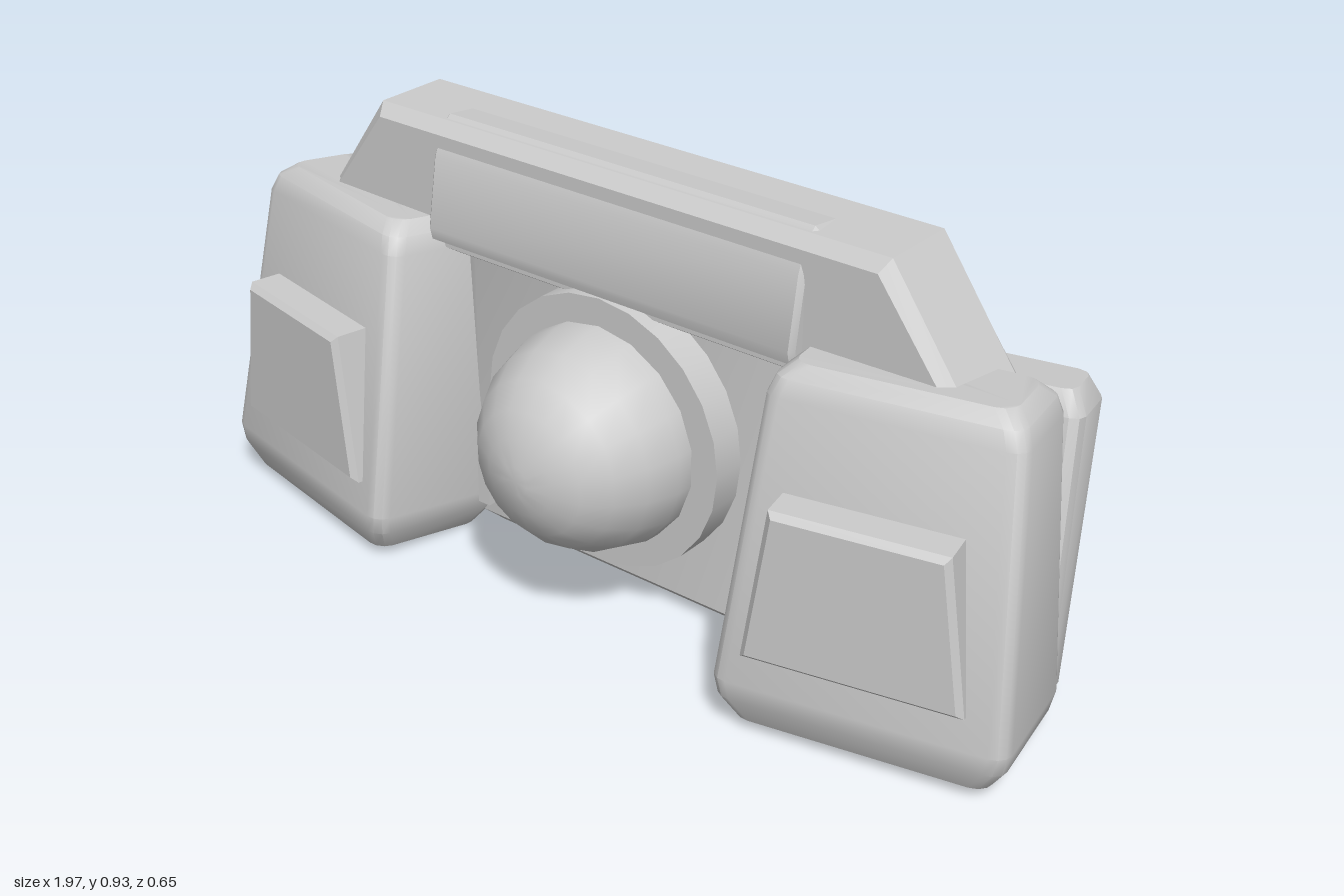
import * as THREE from 'three';
import { toCreasedNormals } from 'three/addons/utils/BufferGeometryUtils.js';

const grey = new THREE.MeshStandardMaterial({ color: 0xcccccc });
grey.name = 'plain grey';

function part(name, geometry, parent, crease = 0.6) {
  const mesh = new THREE.Mesh(toCreasedNormals(geometry, crease), grey);
  mesh.name = name;
  parent.add(mesh);
  return mesh;
}

// Stacks rounded rectangles [y, width, depth, zOffset] upward and caps both ends
function loft(levels, radius, steps = 3) {
  const pos = [], idx = [];
  const n = 4 * (steps + 1);
  for (const [y, w, d, z = 0] of levels) {
    const r = Math.min(radius, w / 2, d / 2);
    for (let q = 0; q < 4; q++) {
      const sx = q === 0 || q === 3 ? 1 : -1, sz = q < 2 ? 1 : -1;
      for (let s = 0; s <= steps; s++) {
        const a = (q + s / steps) * Math.PI / 2;
        pos.push(sx * (w / 2 - r) + r * Math.cos(a), y, z + sz * (d / 2 - r) + r * Math.sin(a));
      }
    }
  }
  for (let l = 0; l < levels.length - 1; l++) {
    for (let i = 0; i < n; i++) {
      const a = l * n + i, b = l * n + (i + 1) % n;
      idx.push(a, a + n, b, b, a + n, b + n);
    }
  }
  const top = (levels.length - 1) * n;
  for (let i = 1; i < n - 1; i++) {
    idx.push(0, i, i + 1, top, top + i + 1, top + i);
  }
  const g = new THREE.BufferGeometry();
  g.setAttribute('position', new THREE.Float32BufferAttribute(pos, 3));
  g.setIndex(idx);
  return g;
}

function extrude(points, depth, bevel = 0) {
  const shape = new THREE.Shape(points.map(([x, y]) => new THREE.Vector2(x, y)));
  return new THREE.ExtrudeGeometry(shape, {
    depth: depth - 2 * bevel, bevelEnabled: bevel > 0, bevelSegments: 1,
    bevelSize: bevel, bevelThickness: bevel, bevelOffset: -bevel,
  }).translate(0, 0, bevel);
}

// One side unit: turned outward and leaning back
function sideUnit(side) {
  const unit = new THREE.Group();
  unit.name = side > 0 ? 'leftUnit' : 'rightUnit';
  unit.position.set(side * 0.68, 0, 0.07);
  unit.rotation.y = side * 0.208;

  const leaning = new THREE.Group();
  leaning.name = 'leaningBody';
  leaning.position.y = 0.018;
  leaning.rotation.x = -0.1;
  unit.add(leaning);

  part('pod', loft([
    [0, 0.5, 0.26], [0.05, 0.56, 0.315], [0.09, 0.575, 0.33],
    [0.65, 0.485, 0.245], [0.685, 0.46, 0.225], [0.71, 0.405, 0.17],
  ], 0.035), leaning);

  part('rearPanel', loft([
    [0.015, 0.48, 0.07, -0.205], [0.05, 0.53, 0.11, -0.205],
    [0.625, 0.53, 0.15, -0.215], [0.67, 0.48, 0.11, -0.215],
  ], 0.025, 2), leaning);

  // Upright raised pad with a tapered outline
  const pad = part('frontPad', extrude(
    [[-0.215, 0.19], [0.215, 0.19], [0.17, 0.51], [-0.17, 0.51]], 0.165, 0.012), unit);
  pad.position.x = -side * 0.01;
  return unit;
}

export function createModel() {
  const model = new THREE.Group();
  model.name = 'model';

  part('centreBlock', loft([
    [0.012, 0.82, 0.25, -0.16], [0.045, 0.88, 0.32, -0.16],
    [0.69, 0.88, 0.32, -0.16], [0.74, 0.8, 0.25, -0.16],
  ], 0.05, 2), model);

  // Round lamp: base ring and dome
  const ring = part('domeRing', new THREE.CylinderGeometry(0.29, 0.29, 0.12, 24), model);
  ring.rotation.x = Math.PI / 2;
  ring.position.set(0, 0.4, 0.015);

  const profile = [[0.232, 0.06], [0.23, 0.11], [0.21, 0.18], [0.175, 0.24],
    [0.13, 0.285], [0.08, 0.308], [0.03, 0.323], [0, 0.323]];
  const dome = part('dome', new THREE.LatheGeometry(
    profile.map(([r, h]) => new THREE.Vector2(r, h)), 18), model);
  dome.rotation.x = Math.PI / 2;
  dome.position.y = 0.4;

  for (const side of [1, -1]) {
    model.add(sideUnit(side));
    const clip = part('sideClip', new THREE.BoxGeometry(0.03, 0.16, 0.06), model);
    clip.position.set(side * 0.35, 0.17, 0.01);
  }

  // Handle bar with sloping ends
  const bar = part('handleBar', extrude(
    [[-0.81, 0.65], [0.81, 0.65], [0.612, 0.93], [-0.612, 0.93]], 0.215, 0.025), model, 0.4);
  bar.position.z = -0.17;

  // Grip on the front of the bar, thicker at its lower edge
  const grip = part('handleGrip', extrude(
    [[-0.06, 0.69], [0.07, 0.69], [0.076, 0.715], [0.052, 0.86], [0.03, 0.915],
      [0.005, 0.938], [-0.06, 0.93]], 0.9, 0.01), model, 0.5);
  grip.rotation.y = -Math.PI / 2;
  grip.scale.z = -1;
  grip.geometry.rotateY(0);
  grip.scale.set(1, 1, 1);
  grip.position.x = 0.45;

  const ridge = part('rearRidge', new THREE.BoxGeometry(0.76, 0.05, 0.02), model);
  ridge.position.set(0, 0.865, -0.165);
  return model;
}
